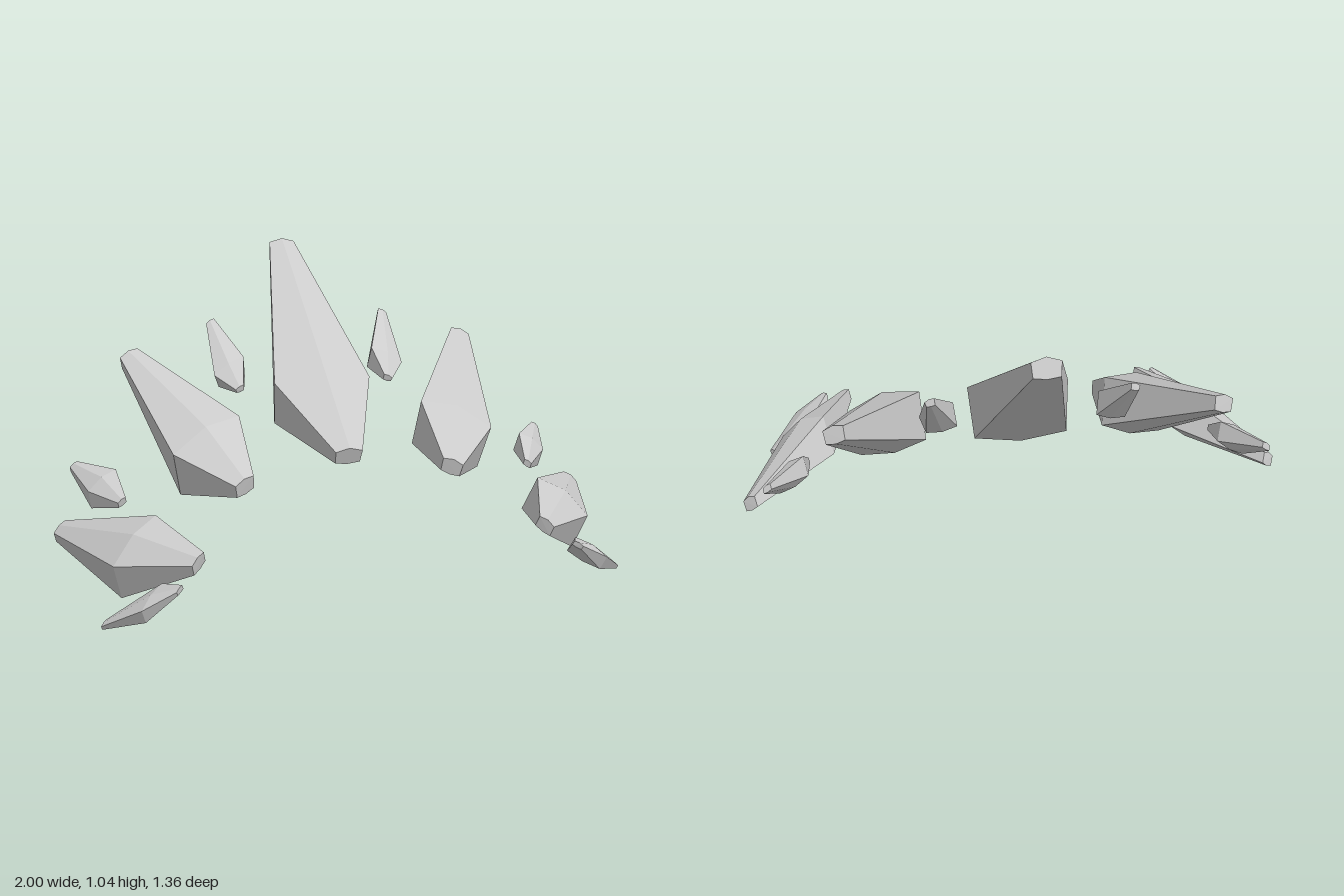
import * as THREE from 'three';
import { ConvexGeometry } from 'three/addons/geometries/ConvexGeometry.js';

const V = (a) => new THREE.Vector3(...a);

// A faceted shard: a six-cornered widest section, narrowing to a small cap at each end.
// corners = [outerTop, innerTop, innerBottom, outerBottom]; ridge = how far the top face bulges.
function shardGeometry({ front, back, corners, ridge = 0.2, tip = 0.27 }) {
  const [ot, it, ib, ob] = corners.map(V);
  const top = ot.clone().lerp(it, 0.5);
  const bottom = ob.clone().lerp(ib, 0.5);
  const lift = top.clone().sub(bottom);
  const center = top.clone().lerp(bottom, 0.5);
  top.addScaledVector(lift, ridge);
  bottom.addScaledVector(lift, -0.12);
  const ring = [ot, top, it, ib, bottom, ob];
  const cap = (end) => ring.map((p) => p.clone().sub(center).multiplyScalar(tip).add(V(end)));
  return new ConvexGeometry([...ring, ...cap(front), ...cap(back)]);
}

// Mirror a shard's description to the other side
function mirrored(spec) {
  const flip = ([x, y, z]) => [-x, y, z];
  return { ...spec, front: flip(spec.front), back: flip(spec.back), corners: spec.corners.map(flip) };
}

const centerShard = {
  front: [0, 0.415, 0.245], back: [0, 1.005, -0.665], ridge: 0.3,
  corners: [[0.18, 0.61, -0.08], [-0.18, 0.61, -0.08], [-0.165, 0.44, -0.15], [0.165, 0.44, -0.15]],
};

// Shards of the left side
const sideShards = {
  upperShard: {
    front: [0.375, 0.35, 0.27], back: [0.655, 0.66, -0.4],
    corners: [[0.59, 0.435, 0.11], [0.34, 0.535, 0.04], [0.325, 0.36, -0.01], [0.56, 0.27, 0.06]],
  },
  lowerShard: {
    front: [0.6, 0.215, 0.575], back: [0.975, 0.15, -0.02],
    corners: [[0.85, 0.165, 0.4], [0.69, 0.295, 0.31], [0.66, 0.16, 0.25], [0.82, 0.03, 0.35]],
  },
  smallUpperShard: {
    front: [0.285, 0.57, -0.18], back: [0.34, 0.77, -0.425],
    corners: [[0.365, 0.61, -0.25], [0.25, 0.67, -0.27], [0.24, 0.59, -0.295], [0.345, 0.56, -0.275]],
  },
  smallMiddleShard: {
    front: [0.765, 0.26, 0.055], back: [0.9, 0.327, -0.19],
    corners: [[0.87, 0.28, -0.035], [0.77, 0.352, -0.04], [0.757, 0.28, -0.06], [0.86, 0.21, -0.055]],
  },
  smallLowerShard: {
    front: [0.68, 0.172, 0.67], back: [0.9, 0.017, 0.515],
    corners: [[0.8, 0.11, 0.655], [0.72, 0.16, 0.57], [0.7, 0.105, 0.55], [0.785, 0.06, 0.635]],
  },
};

export function createModel() {
  const group = new THREE.Group();
  group.name = 'shardFan';
  const material = new THREE.MeshStandardMaterial({ color: 0xcccccc, flatShading: true });
  const add = (name, spec) => {
    const mesh = new THREE.Mesh(shardGeometry(spec), material);
    mesh.name = name;
    group.add(mesh);
  };

  add('centerShard', centerShard);
  for (const [name, spec] of Object.entries(sideShards)) {
    add(name + 'Left', spec);
    add(name + 'Right', mirrored(spec));
  }
  return group;
}
